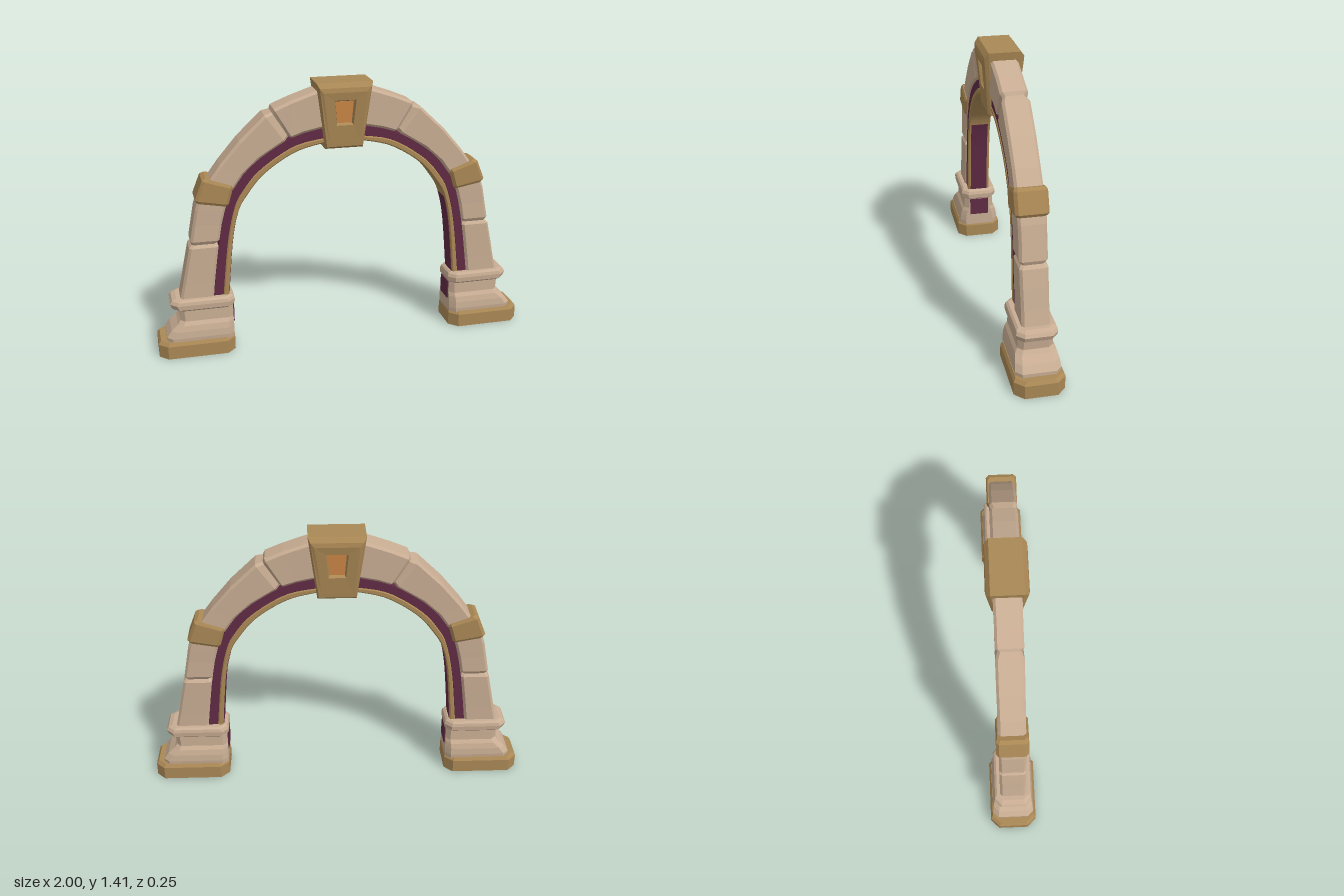
import * as THREE from 'three';

const V2 = (x, y) => new THREE.Vector2(x, y);
const V3 = (x, y, z) => new THREE.Vector3(x, y, z);
const paint = (name, color) => {
  const m = new THREE.MeshStandardMaterial({ color, flatShading: true });
  m.name = name;
  return m;
};

// Skin a list of equal-sized point rings, capped at both ends, facing outward.
function loft(rings) {
  const tris = [], n = rings[0].length, last = rings[rings.length - 1];
  for (let r = 0; r < rings.length - 1; r++) {
    for (let i = 0; i < n; i++) {
      const j = (i + 1) % n, a = rings[r], b = rings[r + 1];
      tris.push([a[i], a[j], b[j]], [a[i], b[j], b[i]]);
    }
  }
  for (let i = 1; i < n - 1; i++) {
    tris.push([rings[0][0], rings[0][i + 1], rings[0][i]], [last[0], last[i], last[i + 1]]);
  }
  const c = rings[0][0];
  let volume = 0;
  for (const [p, q, s] of tris) {
    volume += p.clone().sub(c).dot(q.clone().sub(c).cross(s.clone().sub(c)));
  }
  const points = tris.flatMap(([p, q, s]) => (volume < 0 ? [p, s, q] : [p, q, s]));
  const g = new THREE.BufferGeometry().setFromPoints(points);
  g.computeVertexNormals();
  return g;
}

// Rectangle with cut corners, in local (u, v).
function cutRect(u0, u1, v, c) {
  return [[u0 + c, -v], [u1 - c, -v], [u1, c - v], [u1, v - c],
    [u1 - c, v], [u0 + c, v], [u0, v - c], [u0, c - v]];
}

// Horizontal slices [y, x inner, x outer, half depth, corner cut].
const stack = (slices) => loft(slices.map(([y, x0, x1, z, c]) =>
  cutRect(x0, x1, z, c).map(([u, v]) => V3(u, y, v))));

// Section across the arch between an inner and an outer point.
function section(inner, outer, z, cut, shrink = 0) {
  const len = inner.distanceTo(outer);
  return cutRect(shrink, len - shrink, z - shrink, cut).map(([u, v]) => {
    const p = inner.clone().lerp(outer, u / len);
    return V3(p.x, p.y, v);
  });
}

// Lines of the half arch, all sharing the same seven stations.
const line = (pts) => new THREE.SplineCurve(pts.map(([x, y]) => V2(x, y)));
const OUTER = line([[.875, .3], [.81, .6], [.765, .82], [.695, .94], [.57, 1.1], [.375, 1.28], [.09, 1.385]]);
const STONE = line([[.7, .3], [.66, .6], [.615, .8], [.565, .9], [.465, 1.015], [.28, 1.13], [.09, 1.18]]);
const INLAY = line([[.65, .3], [.615, .6], [.575, .78], [.53, .87], [.435, .98], [.26, 1.09], [.09, 1.125]]);
const RIM = line([[.62, .3], [.59, .6], [.555, .76], [.505, .85], [.41, .96], [.25, 1.06], [.09, 1.1]]);

// Strip of the arch between two of the lines.
function strip(a, b, z, cut, t0 = 0, t1 = 1, steps = 26) {
  const rings = [];
  for (let i = 0; i <= steps; i++) {
    const t = t0 + (t1 - t0) * i / steps;
    rings.push(section(a.getPoint(t), b.getPoint(t), z, cut));
  }
  return loft(rings);
}

// Arch stone with worn, narrowed ends.
function voussoir(s0, s1) {
  const rings = [];
  for (const [f, shrink] of [[0, .012], [.06, 0], [.35, .001], [.65, 0], [.94, 0], [1, .012]]) {
    const t = (s0 + (s1 - s0) * f) / 6;
    rings.push(section(STONE.getPoint(t), OUTER.getPoint(t), .069, .013, shrink));
  }
  return loft(rings);
}

export function createModel() {
  const stone = paint('sandstone', 0xc8ad93);
  const gold = paint('ochre trim', 0xaa8855);
  const purple = paint('plum inlay', 0x602a44);
  const orange = paint('amber panel', 0xc98545);

  const model = new THREE.Group();
  model.name = 'archway';
  const add = (parent, name, geometry, material) => {
    const mesh = new THREE.Mesh(geometry, material);
    mesh.name = name;
    parent.add(mesh);
    return mesh;
  };

  // Both halves are alike, so the second is the first turned half way round.
  for (const side of ['left', 'right']) {
    const half = new THREE.Group();
    half.name = side + 'Half';
    half.rotation.y = side === 'left' ? 0 : Math.PI;
    model.add(half);

    // Pedestal
    add(half, 'plinth', stack([
      [0, .6, 1, .125, .045], [.07, .6, 1, .125, .045], [.087, .607, .988, .114, .045],
    ]), gold);
    add(half, 'pedestal', stack([
      [.08, .602, .955, .11, .03], [.105, .602, .955, .112, .03], [.14, .602, .93, .108, .03],
      [.17, .602, .895, .1, .028], [.19, .602, .88, .087, .025], [.26, .602, .885, .084, .025],
    ]), stone);
    add(half, 'collar', stack([
      [.25, .605, .89, .088, .03], [.26, .594, .918, .099, .035], [.285, .592, .928, .101, .035],
      [.302, .598, .918, .097, .035], [.311, .61, .895, .086, .03],
    ]), stone);
    const panel = add(half, 'pedestalInlay', new THREE.BoxGeometry(.008, .1, .11), purple);
    panel.position.set(.6, .2, 0);

    // Arch stones
    for (const [a, b] of [[0, 1], [1, 2.3], [2.7, 5], [5, 6]]) {
      add(half, 'archStone', voussoir(a, b), stone);
    }

    // Inlay, inner rim and the inlay under the leg
    add(half, 'inlay', strip(INLAY, STONE, .06, .001), purple);
    add(half, 'rim', strip(RIM, INLAY, .063, .006), gold);
    const under = line(RIM.points.map((p) => [p.x - .003, p.y]));
    add(half, 'legInlay', strip(under, RIM, .048, .0005, 0, 1.95 / 6, 10), purple);

    // Band round the shoulder
    add(half, 'band', loft([
      section(V2(.607, .8), V2(.763, .828), .073, .015),
      section(V2(.602, .812), V2(.772, .845), .081, .015),
      section(V2(.578, .893), V2(.732, .945), .081, .015),
      section(V2(.572, .905), V2(.712, .955), .073, .015),
    ]), gold);
  }

  // Keystone with a sunken panel on both faces
  const trapezoid = (xt, yt, zt, xb, yb, zb, s) => [
    V3(-xt, yt, zt * s), V3(xt, yt, zt * s), V3(xb, yb, zb * s), V3(-xb, yb, zb * s)];
  const profile = [
    [.048, 1.312, .07, .038, 1.2, .066],
    [.056, 1.322, .098, .044, 1.19, .085],
    [.112, 1.362, .104, .08, 1.1, .078],
    [.132, 1.385, .1, .092, 1.078, .076],
    [.145, 1.41, .08, .1, 1.066, .06],
  ];
  const front = profile.map((p) => trapezoid(...p, 1));
  const back = profile.map((p) => trapezoid(...p, -1)).reverse();
  add(model, 'keystone', loft([...front, ...back]), gold);
  for (const s of [1, -1]) {
    add(model, 'keystonePanel', loft([
      trapezoid(.048, 1.312, .069, .038, 1.2, .065, s),
      trapezoid(.048, 1.312, .074, .038, 1.2, .07, s),
    ]), orange);
  }
  return model;
}
